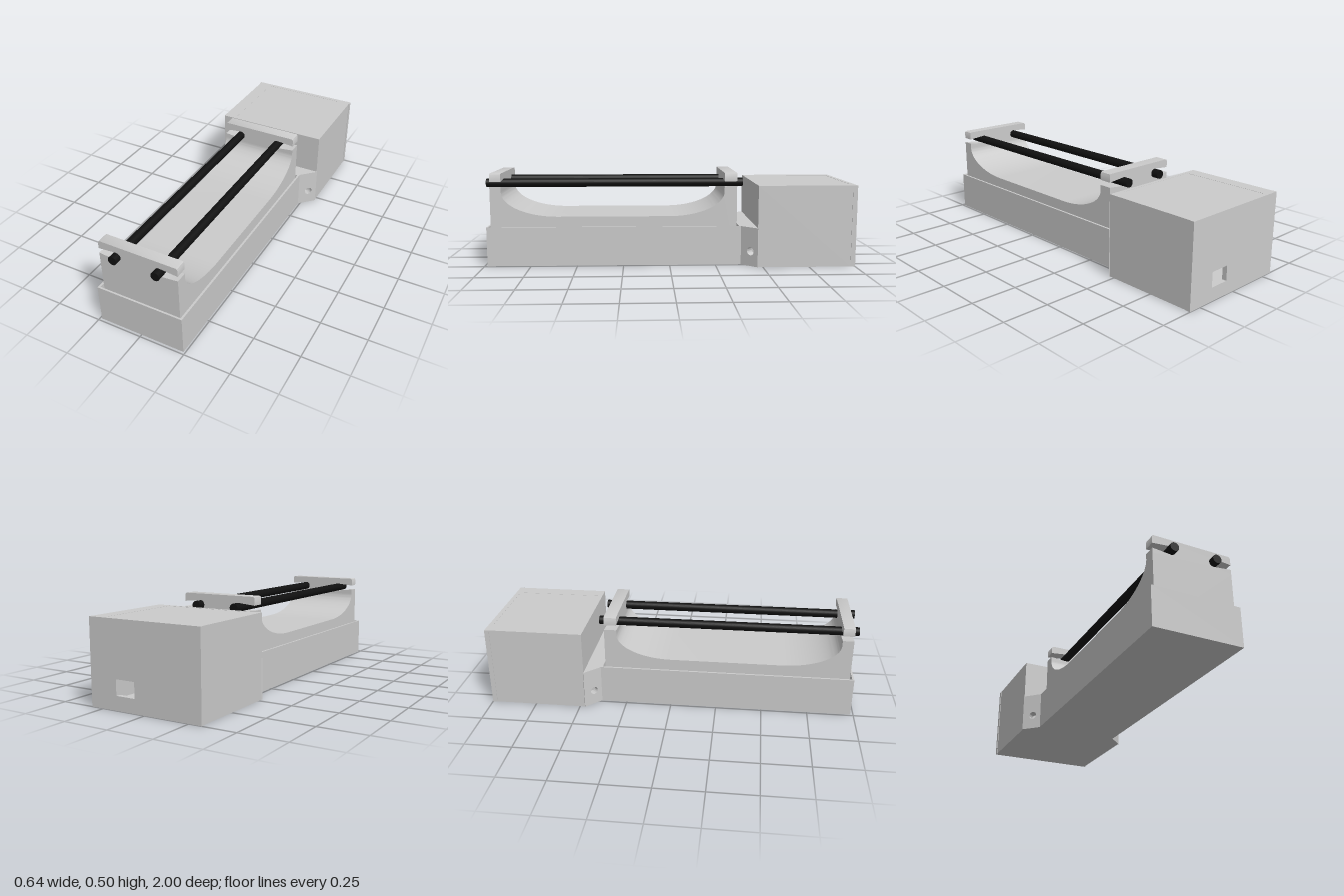
import * as THREE from 'three';
import { toCreasedNormals } from 'three/addons/utils/BufferGeometryUtils.js';

const grey = new THREE.MeshStandardMaterial({ color: 0xcccccc });
const black = new THREE.MeshStandardMaterial({ color: 0x111111 });

const polygon = (pts) => new THREE.Shape(pts.map(([x, y]) => new THREE.Vector2(x, y)));
const rect = (x0, y0, x1, y1) => polygon([[x0, y0], [x1, y0], [x1, y1], [x0, y1]]);
const extrude = (shape, depth) =>
  toCreasedNormals(new THREE.ExtrudeGeometry(shape, { depth, bevelEnabled: false, curveSegments: 16 }), 0.5);
// Plan shapes are drawn as (x, -z) and raised along y
const raise = (shape, height) => extrude(shape, height).rotateX(-Math.PI / 2);

export function createModel() {
  const model = new THREE.Group();
  const add = (name, geometry, material = grey) => {
    const mesh = new THREE.Mesh(geometry, material);
    mesh.name = name;
    model.add(mesh);
    return mesh;
  };
  const box = (name, x0, x1, y0, y1, z0, z1) =>
    add(name, new THREE.BoxGeometry(x1 - x0, y1 - y0, z1 - z0)
      .translate((x0 + x1) / 2, (y0 + y1) / 2, (z0 + z1) / 2));

  // Long tray with a pocket for the cradle
  const trayHeight = 0.212;
  const tray = rect(-0.24, -0.985, 0.24, 0.48);
  tray.holes.push(rect(-0.229, -0.975, 0.229, 0.379));
  add('tray', raise(tray, trayHeight));
  box('trayFloor', -0.235, 0.235, 0, 0.03, -0.385, 0.98);

  // Angled shoulders with screw holes, joining tray to housing
  for (const side of [-1, 1]) {
    const face = rect(-0.0566, 0, 0.0566, trayHeight);
    face.holes.push(new THREE.Path().absarc(0.007, 0.081, 0.022, 0, Math.PI * 2, true));
    const shoulder = add(side > 0 ? 'leftShoulder' : 'rightShoulder',
      extrude(face, 0.0566).translate(0, 0, -0.0566));
    shoulder.position.set(side * 0.28, 0, -0.43);
    shoulder.rotation.y = side * Math.PI / 4;
  }

  // Housing walls, open to the rear
  add('housingWalls', raise(polygon([
    [-0.317, 0.47], [0.317, 0.47], [0.317, 0.976], [0.238, 0.976],
    [0.238, 0.49], [-0.244, 0.49], [-0.244, 0.976], [-0.317, 0.976],
  ]), 0.44));
  box('housingFloor', -0.244, 0.238, 0, 0.03, -0.976, -0.49);
  box('housingLid', -0.244, 0.238, 0.41, 0.439, -0.976, -0.49);

  // Rear panel with a socket opening
  const panel = rect(-0.32, 0, 0.32, 0.44);
  panel.holes.push(rect(0.055, 0.073, 0.165, 0.153));
  add('rearPanel', extrude(panel, 0.025).translate(0, 0, -1));

  // Cradle: side profile (z, y) with a dished top
  const midX = 0.003, halfWidth = 0.217;
  const profile = new THREE.Shape();
  profile.moveTo(-0.368, 0.02);
  profile.lineTo(0.965, 0.02);
  profile.lineTo(0.965, 0.4);
  profile.lineTo(0.905, 0.4);
  profile.absellipse(0.6, 0.4, 0.305, 0.134, 0, -Math.PI / 2, true);
  profile.absellipse(0, 0.4, 0.3, 0.134, -Math.PI / 2, -Math.PI, true);
  profile.lineTo(-0.368, 0.4);
  add('cradle', extrude(profile, halfWidth * 2).rotateY(-Math.PI / 2)
    .translate(midX + halfWidth, 0, 0));

  // Posts at both ends, slotted from the sides to hold the rods
  const rodX = 0.117, rodY = 0.441, rodR = 0.0235;
  const half = [[halfWidth, 0.4], [halfWidth, 0.428]];
  for (let i = 0; i <= 8; i++) {
    const a = -Math.PI / 2 - (i / 8) * Math.PI;
    half.push([rodX + rodR * Math.cos(a), rodY + rodR * Math.sin(a)]);
  }
  half.push([halfWidth, 0.455], [halfWidth, 0.49], [halfWidth - 0.003, 0.497], [halfWidth - 0.01, 0.5]);
  const post = polygon([...half, ...half.map(([x, y]) => [-x, y]).reverse()]);
  for (const [name, z0, z1] of [['frontPost', 0.905, 0.965], ['rearPost', -0.368, -0.3]])
    add(name, extrude(post, z1 - z0).translate(midX, 0, z0));

  // Pair of black rods
  for (const side of [-1, 1])
    add(side > 0 ? 'leftRod' : 'rightRod',
      new THREE.CylinderGeometry(rodR, rodR, 1.41, 32).rotateX(Math.PI / 2)
        .translate(midX + side * rodX, rodY, 0.295), black);

  return model;
}
